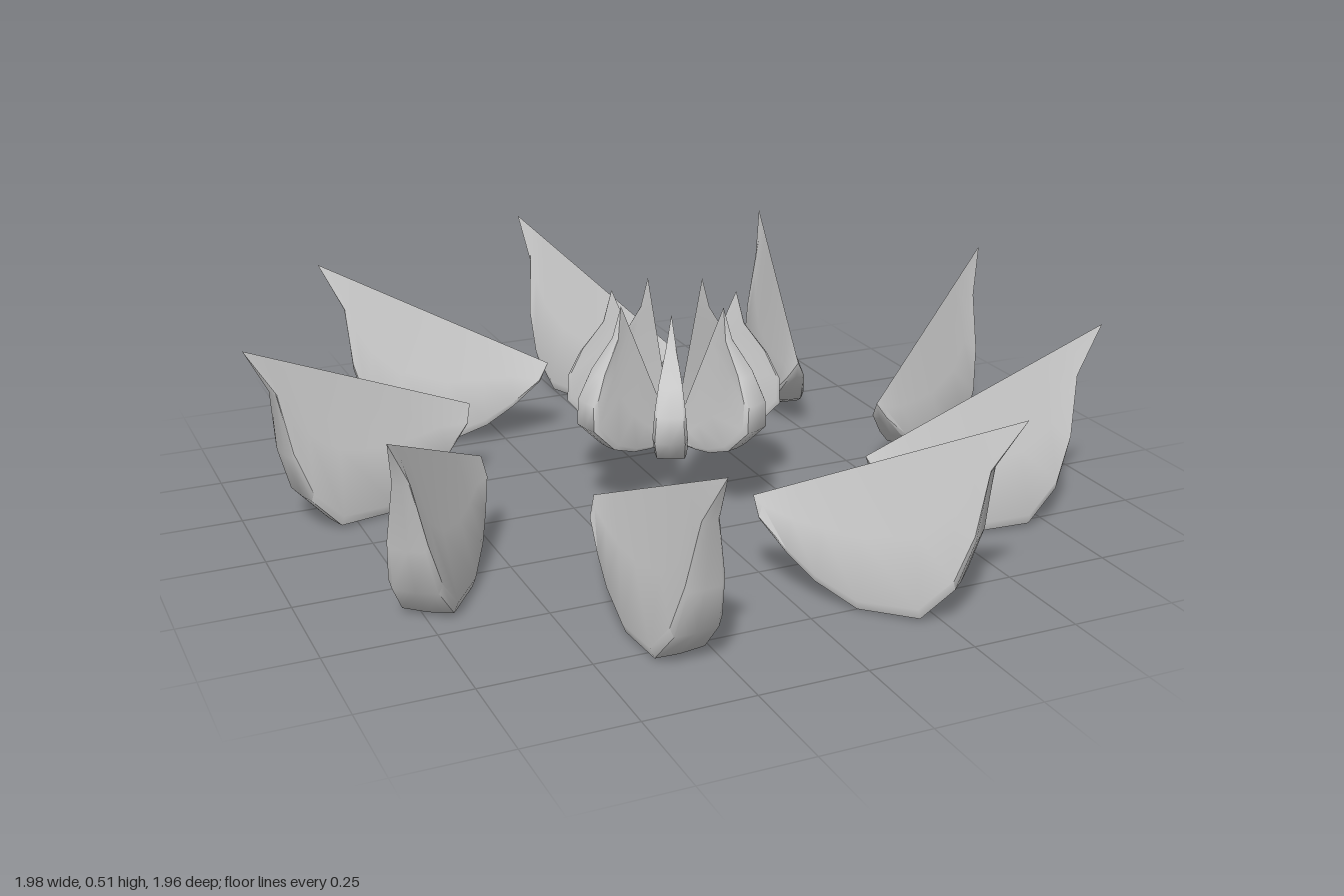
import * as THREE from 'three';
import { toCreasedNormals } from 'three/addons/utils/BufferGeometryUtils.js';

// Petal stations: [ridge z, belly z, belly y, half width]; origin at the inner end of the ridge
const STATIONS = [
  [0, 0, 0, 0],
  [0.03, 0.02, -0.045, 0.02],
  [0.10, 0.09, -0.11, 0.036],
  [0.18, 0.16, -0.16, 0.05],
  [0.26, 0.26, -0.203, 0.063],
  [0.36, 0.40, -0.198, 0.068],
  [0.44, 0.47, -0.12, 0.06],
  [0.49, 0.505, -0.01, 0.045],
  [0.54, 0.522, 0.14, 0.02],
  [0.59, 0.59, 0.26, 0],
];
const RIDGE_SLOPE = 0.26 / 0.59;

// Wedge section: [share of half width, share of the way from ridge to belly]
const HALF = [[0.52, 0.5], [1, 0.93], [0.86, 1]];
const SECTION = [
  [0, 0], ...HALF, [0, 1.01],
  ...HALF.map(([w, d]) => [-w, d]).reverse(),
];

function petalGeometry() {
  const pos = [], index = [], n = SECTION.length;
  for (const [rz, bz, by, w] of STATIONS) {
    const ry = rz * RIDGE_SLOPE;
    for (const [u, d] of SECTION) {
      pos.push(u * w, ry + (by - ry) * d, rz + (bz - rz) * d);
    }
  }
  const last = STATIONS.length - 2;
  for (let i = 0; i <= last; i++) {
    for (let j = 0; j < n; j++) {
      const a = i * n + j, b = i * n + (j + 1) % n;
      const c = a + n, d = b + n;
      if (i > 0) index.push(a, c, b);      // skip collapsed triangles at the ends
      if (i < last) index.push(b, c, d);
    }
  }
  const geo = new THREE.BufferGeometry();
  geo.setAttribute('position', new THREE.Float32BufferAttribute(pos, 3));
  geo.setIndex(index);
  return toCreasedNormals(geo, THREE.MathUtils.degToRad(48));
}

export function createModel() {
  const deg = THREE.MathUtils.degToRad;
  const flower = new THREE.Group();
  flower.name = 'flower';
  const material = new THREE.MeshStandardMaterial({ color: 0xcccccc, side: THREE.DoubleSide });
  const geometry = petalGeometry();

  // Ring of petals; place() sets a petal within its radial arm
  function ring(name, count, startAngle, place) {
    const group = new THREE.Group();
    group.name = name + 'Ring';
    for (let i = 0; i < count; i++) {
      const arm = new THREE.Group();
      arm.name = name + 'Arm';
      arm.rotation.y = deg(startAngle + i * 360 / count);
      const petal = new THREE.Mesh(geometry, material);
      petal.name = name;
      place(petal);
      arm.add(petal);
      group.add(arm);
    }
    flower.add(group);
  }

  // Nine large petals lying open, swept sideways like a pinwheel
  ring('outerPetal', 9, -44, (p) => {
    p.position.set(0, 0.21, 0.51);
    p.rotation.y = deg(48);
  });

  // Seven small upright petals forming the bud
  ring('innerPetal', 7, 180, (p) => {
    p.position.set(0, 0.163, 0);
    p.rotation.x = deg(-43);
    p.scale.setScalar(0.6);
  });

  flower.position.set(0.003, 0, 0.022);
  const model = new THREE.Group();
  model.name = 'openFlower';
  model.add(flower);
  return model;
}
